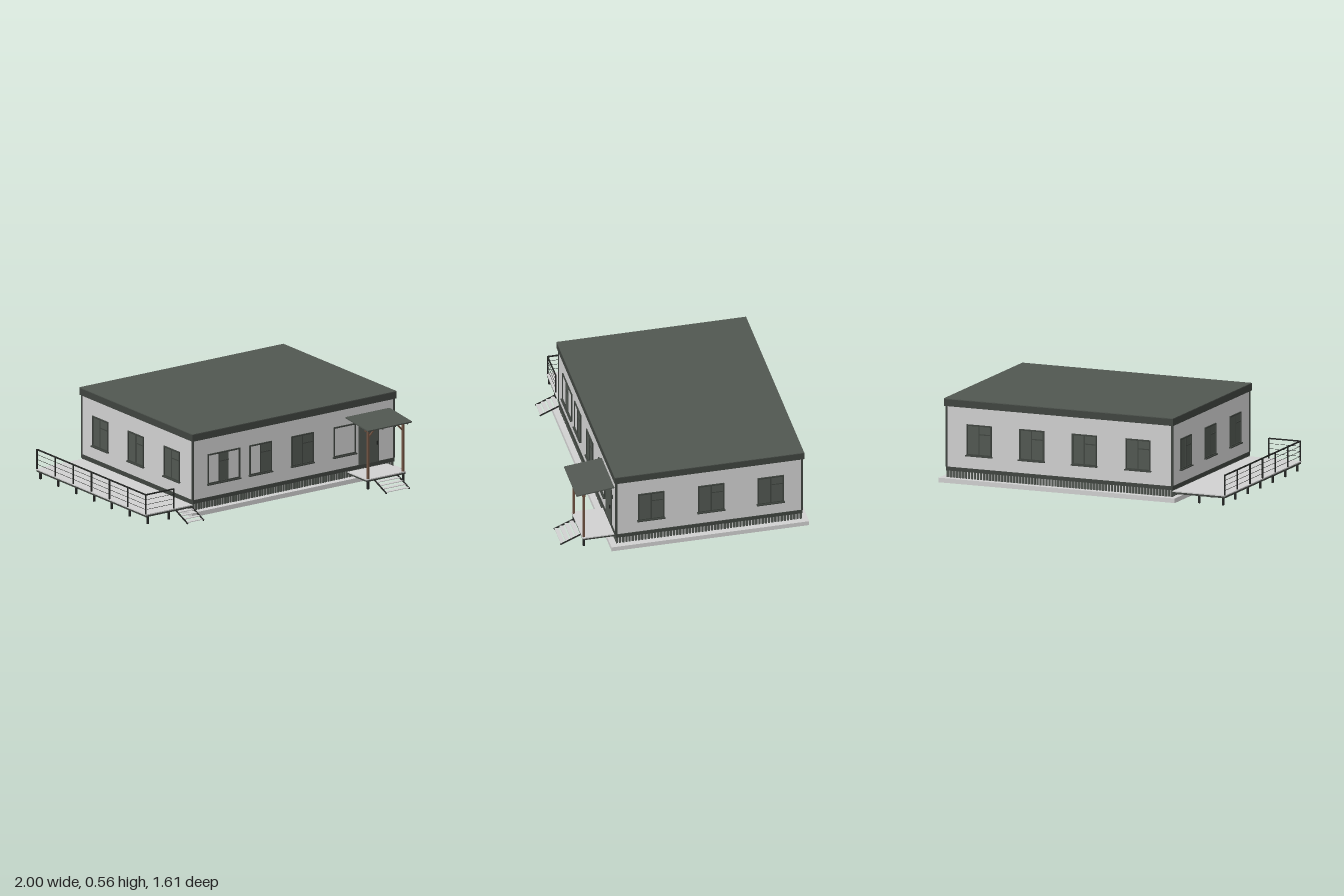
import * as THREE from 'three';
import { mergeGeometries } from 'three/addons/utils/BufferGeometryUtils.js';

const flat = (name, color) => Object.assign(new THREE.MeshStandardMaterial({ color }), { name });

export function createModel() {
  const wall = flat('light grey', 0xd0d0d0);
  const green = flat('grey green', 0x515751);
  const trim = flat('dark trim', 0x3f443f);
  const black = flat('near black', 0x242624);
  const wood = flat('brown wood', 0x6e5140);

  const house = new THREE.Group();
  house.name = 'house';

  const group = (parent, name) => {
    const g = new THREE.Group();
    g.name = name;
    parent.add(g);
    return g;
  };
  // Box geometry from its limits on each axis
  const boxGeo = (x0, x1, y0, y1, z0, z1) =>
    new THREE.BoxGeometry(x1 - x0, y1 - y0, z1 - z0)
      .translate((x0 + x1) / 2, (y0 + y1) / 2, (z0 + z1) / 2);
  const add = (parent, name, mat, geos) => {
    const m = new THREE.Mesh(Array.isArray(geos) ? mergeGeometries(geos) : geos, mat);
    m.name = name;
    parent.add(m);
    return m;
  };
  const box = (parent, name, mat, ...b) => add(parent, name, mat, boxGeo(...b));
  // Square bar between two points
  const barGeo = (a, b, w, h = w) => {
    const p = new THREE.Vector3(...a), q = new THREE.Vector3(...b);
    const o = new THREE.Object3D();
    o.position.copy(p).add(q).multiplyScalar(0.5);
    o.lookAt(q);
    o.updateMatrix();
    return new THREE.BoxGeometry(w, h, p.distanceTo(q)).applyMatrix4(o.matrix);
  };

  const X0 = -0.63, X1 = 0.96, Z0 = -0.77, Z1 = 0.46;

  // Foundation slab and piles
  box(house, 'foundationSlab', wall, -0.665, 1, 0.01, 0.04, -0.81, 0.5);
  const piles = [];
  for (let i = 0; i < 5; i++) for (let j = 0; j < 6; j++)
    piles.push(new THREE.CylinderGeometry(0.008, 0.008, 0.02, 8)
      .translate(-0.6 + i * 0.38, 0.01, 0.43 - j * 0.233));
  add(house, 'piles', trim, piles);

  // Main body, base band, corner trims and flat roof
  box(house, 'plinth', wall, X0 + 0.012, X1 - 0.012, 0.04, 0.085, Z0 + 0.012, Z1 - 0.012);
  box(house, 'walls', wall, X0, X1, 0.1, 0.52, Z0, Z1);
  box(house, 'baseBand', trim, X0 - 0.004, X1 + 0.004, 0.085, 0.11, Z0 - 0.004, Z1 + 0.004);
  const corners = [];
  for (const x of [X0, X1]) for (const z of [Z0, Z1])
    corners.push(boxGeo(x - 0.006, x + 0.006, 0.11, 0.51, z - 0.006, z + 0.006));
  add(house, 'cornerTrims', trim, corners);
  box(house, 'fascia', trim, -0.642, 0.975, 0.51, 0.555, -0.783, 0.473);
  box(house, 'roof', green, -0.642, 0.975, 0.555, 0.56, -0.783, 0.473);

  // Slatted skirt around the plinth
  const slats = [];
  const pitch = 0.021, w = 0.013;
  for (let x = X0; x < X1 - w / 2; x += pitch)
    for (const z of [Z0, Z1 - 0.008]) slats.push(boxGeo(x, x + w, 0.04, 0.087, z, z + 0.008));
  for (let z = Z0; z < Z1 - w / 2; z += pitch)
    for (const x of [X0, X1 - 0.008]) slats.push(boxGeo(x, x + 0.008, 0.04, 0.087, z, z + w));
  add(house, 'skirtSlats', green, slats);

  // Window in a wall frame: x along the wall, z outwards; one material per pane
  const addWindow = (side, cx, panes, width = 0.175) => {
    const g = group(side, 'window');
    g.position.x = cx;
    const a = width / 2, y0 = 0.197, y1 = 0.4, t = 0.009, d = 0.008;
    const bars = [
      boxGeo(-a, -a + t, y0, y1, 0, d), boxGeo(a - t, a, y0, y1, 0, d),
      boxGeo(-a, a, y0, y0 + t, 0, d), boxGeo(-a, a, y1 - t, y1, 0, d),
    ];
    const pw = (width - 2 * t) / panes.length;
    panes.forEach((mat, i) => {
      const x = -a + t + i * pw;
      box(g, 'pane', mat, x, x + pw, y0 + t, y1 - t, 0, 0.003);
      if (mat !== green) return;
      if (i > 0) bars.push(boxGeo(x - 0.004, x + 0.004, y0, y1, 0, 0.006));
      if (i === panes.length - 1 || panes.length === 3)
        bars.push(boxGeo(x, x + pw, 0.335, 0.342, 0, 0.006));
    });
    add(g, 'windowFrame', trim, bars);
    box(g, 'windowSill', trim, -a - 0.005, a + 0.005, y0 - 0.006, y0 + 0.002, 0, 0.016);
  };
  const wallSide = (name, x, z, turn) => {
    const g = group(house, name);
    g.position.set(x, 0, z);
    g.rotation.y = turn;
    return g;
  };
  const front = wallSide('frontWindows', 0, Z1, 0);
  addWindow(front, -0.388, [wall, green, wall], 0.255);
  addWindow(front, -0.097, [wall, green]);
  addWindow(front, 0.235, [green, green]);
  addWindow(front, 0.57, [wall]);
  const back = wallSide('backWindows', 0, Z0, Math.PI);
  for (const x of [0.73, 0.36, -0.012, -0.39]) addWindow(back, -x, [green, green]);
  const left = wallSide('leftWindows', X1, 0, Math.PI / 2);
  const right = wallSide('rightWindows', X0, 0, -Math.PI / 2);
  for (const z of [0.23, -0.168, -0.563]) {
    addWindow(left, -z, [green, green]);
    addWindow(right, z, [green, green]);
  }

  // Stairs running down to the front from z
  const addStairs = (name, x0, x1, z, zEnd) => {
    const g = group(house, name);
    const treads = [], n = 4, run = (zEnd - z) / n;
    for (let i = 0; i < n; i++) {
      const y = 0.058 - i * 0.014;
      treads.push(boxGeo(x0, x1, y - 0.004, y, z + i * run + 0.004, z + (i + 1) * run - 0.004));
    }
    add(g, 'treads', wall, treads);
    add(g, 'stringers', black, [x0, x1].map((x) => barGeo([x, 0.065, z], [x, 0.008, zEnd], 0.007, 0.008)));
  };

  // Side deck
  const deck = group(house, 'deck');
  box(deck, 'deckBoards', wall, -1, X0, 0.072, 0.079, -0.765, 0.455);
  box(deck, 'deckFrame', trim, -0.998, X0, 0.06, 0.072, -0.763, 0.453);
  const legs = [];
  for (let i = 0; i < 7; i++) for (const x of [-0.977, -0.81])
    legs.push(boxGeo(x - 0.006, x + 0.006, 0.01, 0.06, -0.751 + i * 0.198, -0.739 + i * 0.198));
  add(deck, 'deckLegs', black, legs);
  const rail = [], wires = [], zf = 0.448, zb = -0.758, xr = -0.995, xe = -0.773;
  for (let i = 0; i < 7; i++) {
    const z = zb + ((zf - zb) * i) / 6;
    rail.push(boxGeo(xr - 0.004, xr + 0.004, 0.079, 0.212, z - 0.004, z + 0.004));
  }
  rail.push(boxGeo(xe - 0.004, xe + 0.004, 0.079, 0.212, zf - 0.004, zf + 0.004));
  rail.push(barGeo([xr, 0.21, zb], [xr, 0.21, zf], 0.008), barGeo([xr, 0.21, zf], [xe, 0.21, zf], 0.008));
  for (const y of [0.11, 0.143, 0.176])
    wires.push(barGeo([xr, y, zb], [xr, y, zf], 0.002), barGeo([xr, y, zf], [xe, y, zf], 0.002));
  add(deck, 'railing', black, rail);
  add(deck, 'railingWires', black, wires);
  addStairs('deckStairs', -0.762, -0.635, 0.455, 0.587);

  // Entrance porch
  const porch = group(house, 'porch');
  box(porch, 'porchBoards', wall, 0.597, 0.91, 0.073, 0.08, Z1, 0.67);
  box(porch, 'porchFrame', trim, 0.599, 0.908, 0.062, 0.073, Z1, 0.668);
  const px = [0.615, 0.893], pz = 0.66;
  add(porch, 'porchLegs', black, px.map((x) => boxGeo(x - 0.006, x + 0.006, 0.01, 0.062, pz - 0.006, pz + 0.006)));
  add(porch, 'porchPosts', wood, px.map((x) => boxGeo(x - 0.007, x + 0.007, 0.08, 0.422, pz - 0.007, pz + 0.007)));
  add(porch, 'porchBeams', wood, [
    boxGeo(0.59, 0.915, 0.402, 0.416, pz - 0.006, pz + 0.006),
    barGeo([0.615, 0.355, pz], [0.665, 0.406, pz], 0.008),
    barGeo([0.893, 0.355, pz], [0.843, 0.406, pz], 0.008),
  ]);
  add(porch, 'porchRafters', trim, [0.6, 0.7, 0.8, 0.9].map((x) =>
    barGeo([x, 0.438, Z1], [x, 0.413, 0.705], 0.01)));
  const canopy = box(porch, 'porchRoof', green, -0.175, 0.175, -0.004, 0.004, -0.126, 0.126);
  canopy.position.set(0.75, 0.436, 0.59);
  canopy.rotation.x = 0.115;
  addStairs('porchStairs', 0.66, 0.843, 0.67, 0.803);

  // Front door with handle and wall lamp
  const door = group(house, 'entrance');
  box(door, 'doorFrame', trim, 0.682, 0.843, 0.1, 0.378, Z1, Z1 + 0.005);
  box(door, 'door', green, 0.688, 0.837, 0.11, 0.372, Z1, Z1 + 0.008);
  box(door, 'doorHandle', black, 0.82, 0.828, 0.225, 0.25, Z1, Z1 + 0.014);
  box(door, 'wallLamp', trim, 0.855, 0.866, 0.325, 0.352, Z1, Z1 + 0.01);

  return house;
}
